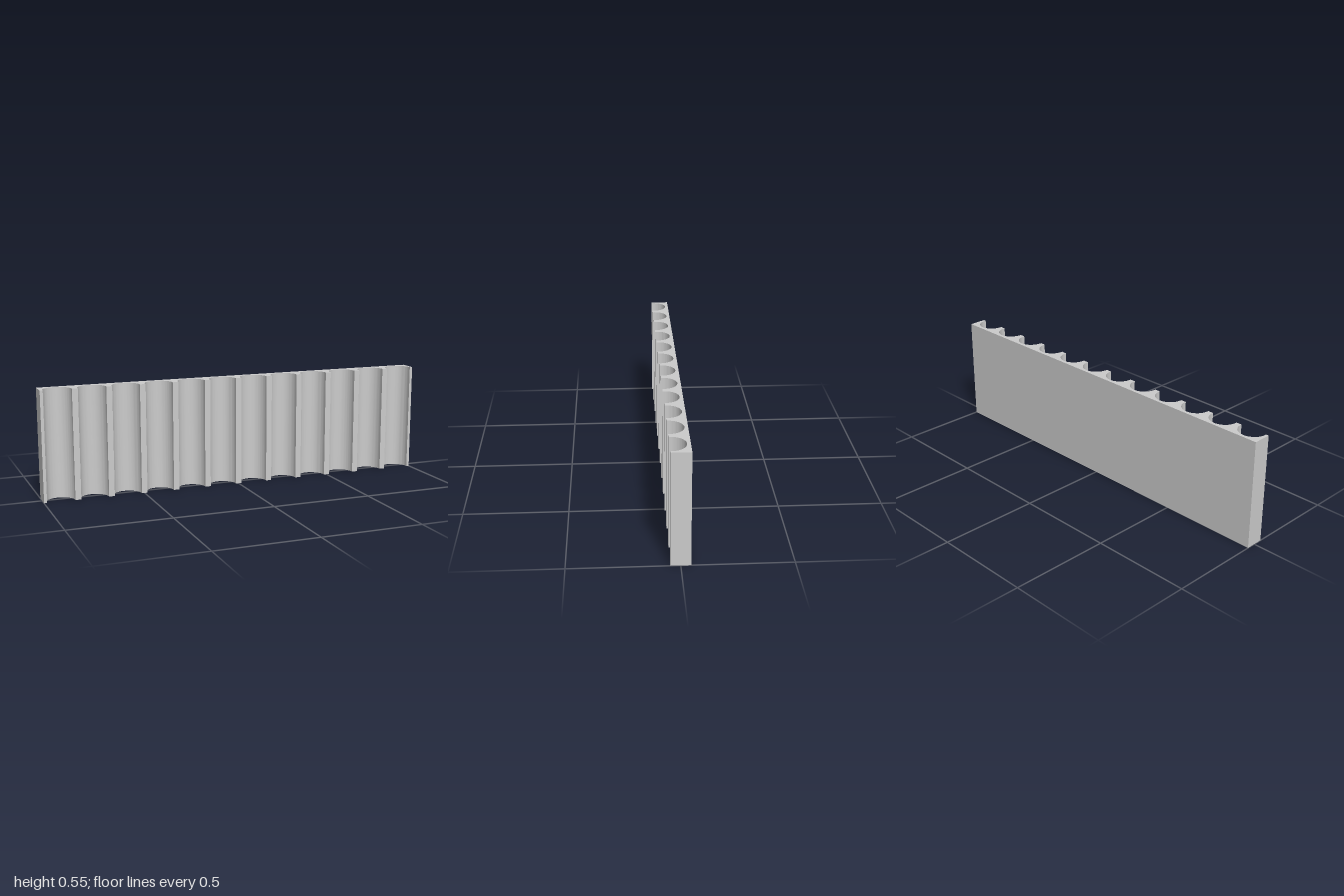
import * as THREE from 'three';
import { toCreasedNormals } from 'three/addons/utils/BufferGeometryUtils.js';

const LENGTH = 2, HEIGHT = 0.545, DEPTH = 0.091;
const FLUTES = 12, RADIUS = 0.069, FLUTE_DEPTH = 0.075;

export function createModel() {
  const group = new THREE.Group();
  group.name = 'flutedPanel';

  // Plan outline: flat back, front edge cut by evenly spaced round flutes
  const pitch = LENGTH / FLUTES;
  const front = -DEPTH / 2;
  const centreY = front + FLUTE_DEPTH - RADIUS;
  const outline = new THREE.Shape();
  outline.moveTo(-LENGTH / 2, front);
  for (let i = 0; i < FLUTES; i++) {
    const x = -LENGTH / 2 + (i + 0.5) * pitch;
    outline.lineTo(x - RADIUS, front);
    outline.lineTo(x - RADIUS, centreY);
    outline.absarc(x, centreY, RADIUS, Math.PI, 0, true);
    outline.lineTo(x + RADIUS, front);
  }
  outline.lineTo(LENGTH / 2, front);
  outline.lineTo(LENGTH / 2, -front);
  outline.lineTo(-LENGTH / 2, -front);
  outline.closePath();

  // Raise the outline to full height, keeping flutes smooth and corners sharp
  const solid = new THREE.ExtrudeGeometry(outline, {
    depth: HEIGHT, bevelEnabled: false, curveSegments: 16,
  });
  solid.rotateX(-Math.PI / 2);
  const panel = new THREE.Mesh(
    toCreasedNormals(solid, Math.PI / 6),
    new THREE.MeshStandardMaterial({ color: 0xcccccc }),
  );
  panel.name = 'panel';
  group.add(panel);
  return group;
}
